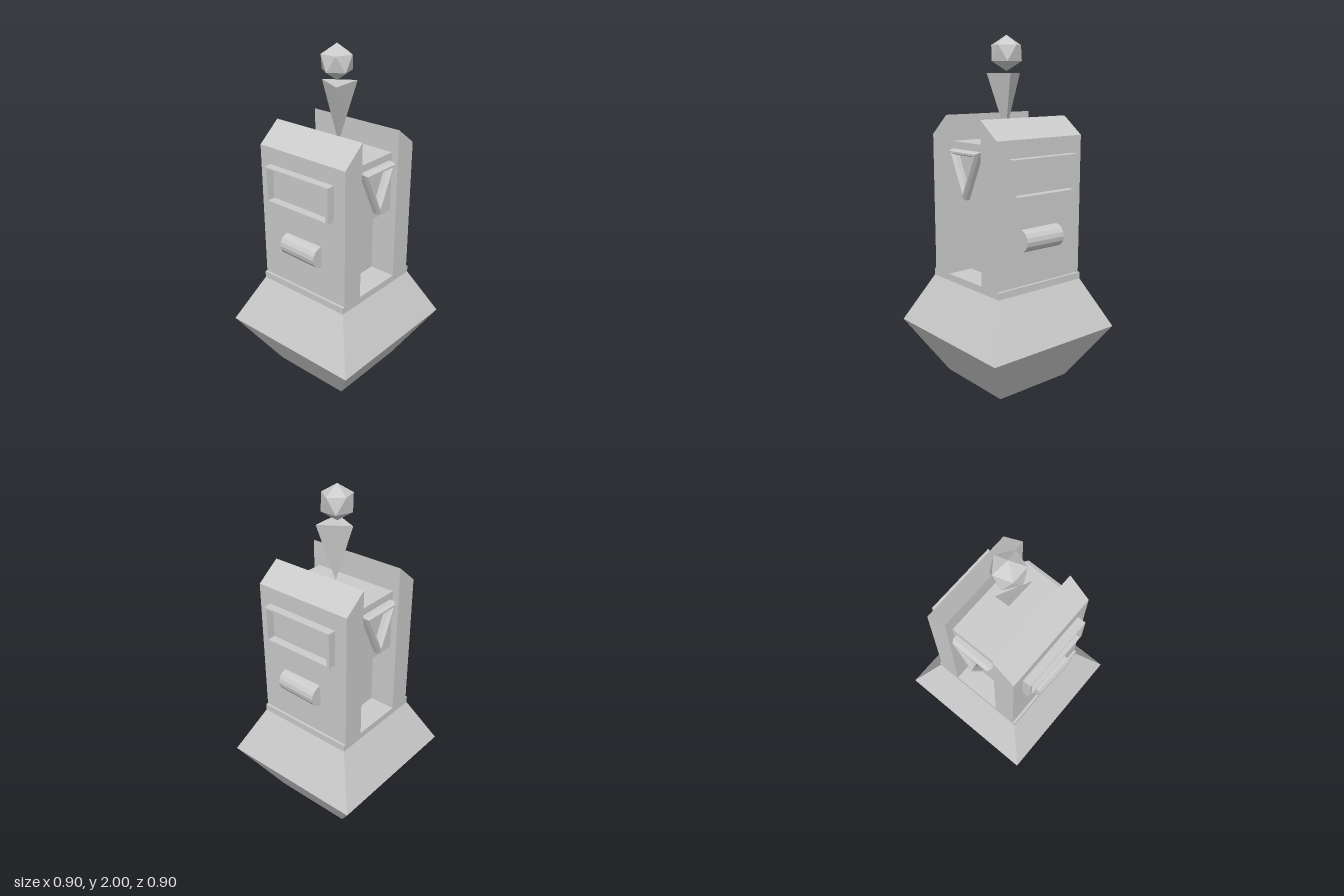
import * as THREE from 'three';

const material = new THREE.MeshStandardMaterial({ color: 0xcccccc, flatShading: true });

export function createModel() {
  const model = new THREE.Group();

  const add = (name, geometry, x = 0, y = 0, z = 0) => {
    const mesh = new THREE.Mesh(geometry, material);
    mesh.name = name;
    mesh.position.set(x, y, z);
    model.add(mesh);
    return mesh;
  };
  const box = (name, w, y0, y1, d) =>
    add(name, new THREE.BoxGeometry(w, y1 - y0, d), 0, (y0 + y1) / 2, 0);

  // Square tapered block between two heights, given half widths
  const frustum = (name, y0, half0, y1, half1) => {
    const g = new THREE.CylinderGeometry(half1 * Math.SQRT2, half0 * Math.SQRT2, y1 - y0, 4);
    g.rotateY(Math.PI / 4);
    return add(name, g, 0, (y0 + y1) / 2, 0);
  };

  // Base and collar
  frustum('baseLower', 0, 0.25, 0.32, 0.448);
  frustum('baseUpper', 0.32, 0.448, 0.61, 0.305);
  box('collar', 0.61, 0.61, 0.65, 0.61);

  // Core: recessed wall below, thicker block above
  box('recessedCore', 0.32, 0.64, 1.08, 0.29);
  box('upperBlock', 0.312, 1.07, 1.42, 0.53);

  for (const side of [1, -1]) {
    const label = side > 0 ? 'left' : 'right';

    // Side slab with a slanted top
    const innerTop = side > 0 ? 1.555 : 1.567;
    const corners = [[0.155, 0.64], [0.29, 0.64], [0.29, 1.453], [0.155, innerTop]];
    const slab = new THREE.Shape(corners.map(([x, y]) => new THREE.Vector2(x * side, y)));
    add(label + 'SideSlab',
      new THREE.ExtrudeGeometry(slab, { depth: 0.61, bevelEnabled: false }), 0, 0, -0.305);

    // Thin rectangular frame standing out from the slab
    const t = 0.017;
    const rect = (Type, w, h) => new Type([[-w, -h], [w, -h], [w, h], [-w, h]]
      .map(([x, y]) => new THREE.Vector2(x, y)));
    const frame = rect(THREE.Shape, 0.23, 0.103);
    frame.holes.push(rect(THREE.Path, 0.23 - t, 0.103 - t / 2));
    const frameGeometry = new THREE.ExtrudeGeometry(frame, { depth: 0.06, bevelEnabled: false });
    frameGeometry.rotateY(side * Math.PI / 2);
    add(label + 'WindowFrame', frameGeometry, side * 0.28, 1.253, 0);

    // Half-sunk roller
    const roller = new THREE.CylinderGeometry(0.064, 0.064, 0.26, 16);
    roller.rotateX(Math.PI / 2);
    add(label + 'Roller', roller, side * 0.287, 0.905, 0.008).rotation.y = -0.035;

    // Triangular rim on the front and back of the upper block
    const profile = [[0.15, -0.01], [0.15, 0.026], [0.136, 0.048], [0.119, 0.048],
      [0.105, 0.026], [0.105, -0.01]].map(([r, h]) => new THREE.Vector2(r, h));
    const rim = new THREE.LatheGeometry(profile, 3);
    rim.rotateX(Math.PI / 2);
    rim.scale(1, 1.22, 1);
    if (side < 0) rim.rotateY(Math.PI);
    add((side > 0 ? 'front' : 'back') + 'TriangleRim', rim, 0, 1.288, side * 0.266);
  }

  // Inverted three-sided spike, point downwards
  const spike = new THREE.CylinderGeometry(0.112, 0, 0.335, 3);
  spike.rotateY(THREE.MathUtils.degToRad(184));
  add('spike', spike, 0.003, 1.627, 0.008);

  // Faceted finial with one vertex straight up
  add('finial', new THREE.IcosahedronGeometry(0.098, 0), 0, 1.902, 0)
    .rotation.set(0, Math.PI, Math.atan(2 / (1 + Math.sqrt(5))));

  return model;
}
